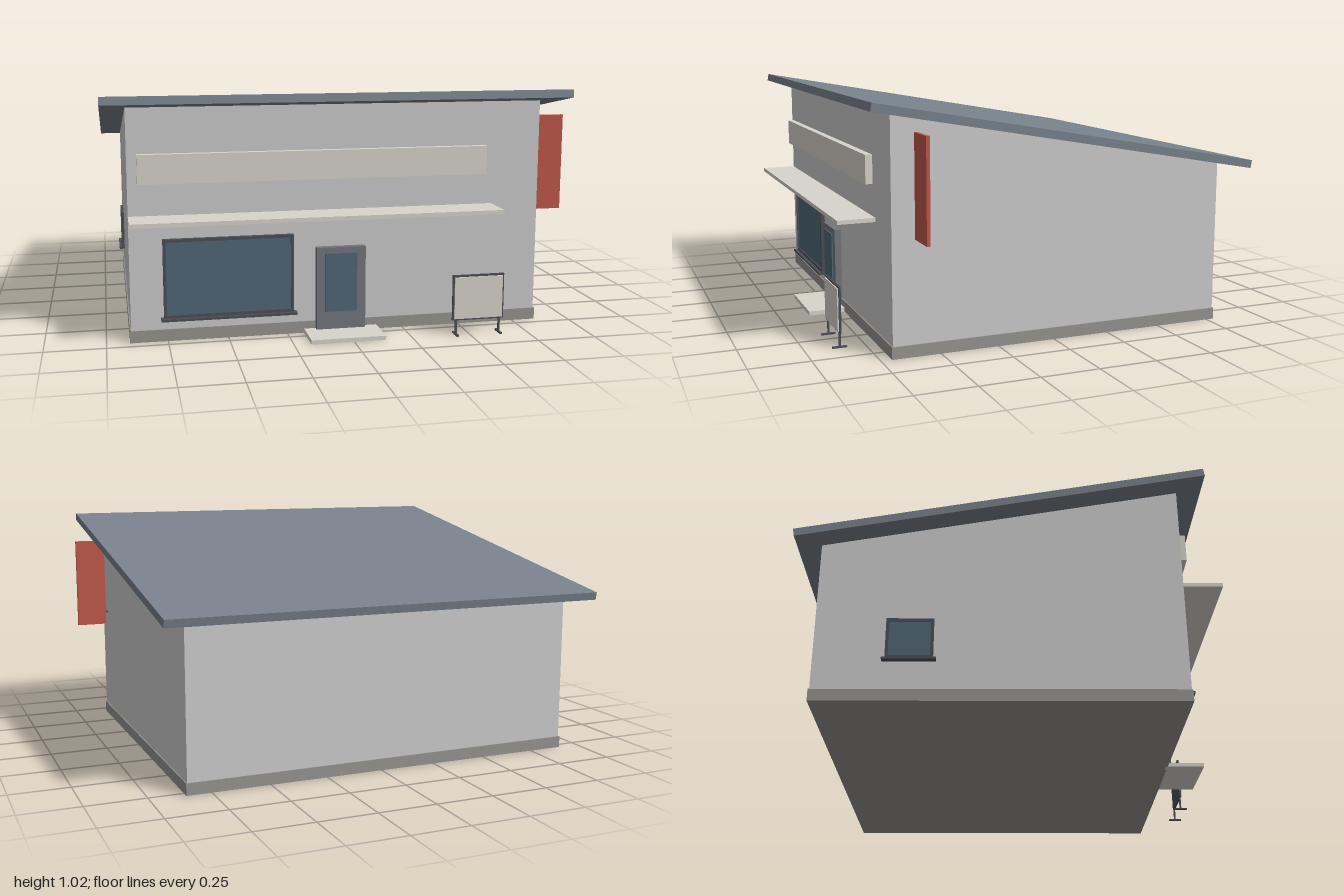
import * as THREE from 'three';

const mat = (color) => new THREE.MeshStandardMaterial({ color });
const M = {
  wall: mat(0xcccccc), plinth: mat(0x96948f), roof: mat(0x78828c), cream: mat(0xd8d4cc),
  red: mat(0xc0574a), frame: mat(0x4a4e54), door: mat(0x73767c), glass: mat(0x4f6775),
};

// Box given by its limits on each axis
function box(name, material, [x0, x1], [y0, y1], [z0, z1]) {
  const mesh = new THREE.Mesh(new THREE.BoxGeometry(x1 - x0, y1 - y0, z1 - z0), material);
  mesh.position.set((x0 + x1) / 2, (y0 + y1) / 2, (z0 + z1) / 2);
  mesh.name = name;
  return mesh;
}

// Framed window facing +z, centred on x, standing on y = 0 with its back at z = 0
function framedWindow(name, w, h, bar, depth, sillOver, sillDepth) {
  const g = new THREE.Group();
  g.name = name;
  const a = w / 2;
  g.add(box('glass', M.glass, [-a + bar, a - bar], [bar, h - bar], [-0.01, depth * 0.6]));
  for (const y of [0, h - bar]) g.add(box('frameRail', M.frame, [-a, a], [y, y + bar], [-0.01, depth]));
  for (const x of [-a, a - bar]) g.add(box('frameStile', M.frame, [x, x + bar], [bar, h - bar], [-0.01, depth]));
  g.add(box('sill', M.frame, [-a - sillOver, a + sillOver], [-0.01, 0], [-0.01, sillDepth]));
  return g;
}

export function createModel() {
  const model = new THREE.Group();
  model.name = 'shop';

  // Walls: side profile (z, y) with a sloping top, extruded across x
  const profile = new THREE.Shape([[-0.7, 0.03], [0.78, 0.03], [0.78, 0.705], [-0.7, 0.968]]
    .map(([u, v]) => new THREE.Vector2(u, v)));
  const wallGeo = new THREE.ExtrudeGeometry(profile, { depth: 1.75, bevelEnabled: false });
  wallGeo.rotateY(Math.PI / 2).translate(-0.9, 0, 0);
  const walls = new THREE.Mesh(wallGeo, M.wall);
  walls.name = 'walls';
  model.add(walls);
  model.add(box('plinth', M.plinth, [-0.905, 0.855], [0, 0.05], [-0.785, 0.705]));

  // Single-pitch roof slab falling to the back
  const roof = box('roof', M.roof, [-1, 0.955], [0.835, 0.869], [-0.893, 0.817]);
  roof.rotation.x = -Math.atan2(0.3, 1.683);
  model.add(roof);

  // Shop front
  model.add(box('signBoard', M.cream, [-0.86, 0.605], [0.66, 0.78], [0.695, 0.73]));
  model.add(box('canopy', M.cream, [-0.9, 0.64], [0.51, 0.527], [0.695, 0.86]));
  const shopWindow = framedWindow('shopWindow', 0.54, 0.33, 0.012, 0.02, 0.012, 0.037);
  shopWindow.position.set(-0.495, 0.1, 0.7);
  model.add(shopWindow);

  // Door with glazed panel, handle side rail and step
  model.add(box('door', M.door, [-0.13, 0.08], [0.015, 0.37], [0.695, 0.73]));
  model.add(box('doorGlass', M.glass, [-0.095, 0.042], [0.095, 0.345], [0.72, 0.736]));
  model.add(box('doorStep', M.cream, [-0.18, 0.135], [0, 0.018], [0.695, 0.868]));

  // Small window in the right-hand wall
  const sideWindow = framedWindow('sideWindow', 0.19, 0.175, 0.012, 0.013, 0.012, 0.025);
  sideWindow.position.set(-0.9, 0.18, -0.4);
  sideWindow.rotation.y = -Math.PI / 2;
  model.add(sideWindow);

  // Projecting blade sign with brackets
  const blade = new THREE.Group();
  blade.name = 'bladeSign';
  blade.add(box('bladePanel', M.red, [0.862, 1], [0.475, 0.893], [0.593, 0.608]));
  for (const y of [0.53, 0.83]) blade.add(box('bracket', M.frame, [0.845, 0.865], [y, y + 0.01], [0.597, 0.604]));
  model.add(blade);

  // Free-standing notice board
  const notice = new THREE.Group();
  notice.name = 'noticeBoard';
  notice.add(box('noticeFrame', M.frame, [0.423, 0.647], [0.063, 0.257], [0.852, 0.861]));
  notice.add(box('noticeFace', M.cream, [0.43, 0.64], [0.07, 0.249], [0.857, 0.866]));
  for (const x of [0.44, 0.63]) {
    notice.add(box('noticeLeg', M.frame, [x - 0.004, x + 0.004], [0, 0.07], [0.852, 0.86]));
    notice.add(box('noticeFoot', M.frame, [x - 0.005, x + 0.005], [0, 0.007], [0.827, 0.887]));
  }
  model.add(notice);

  return model;
}
